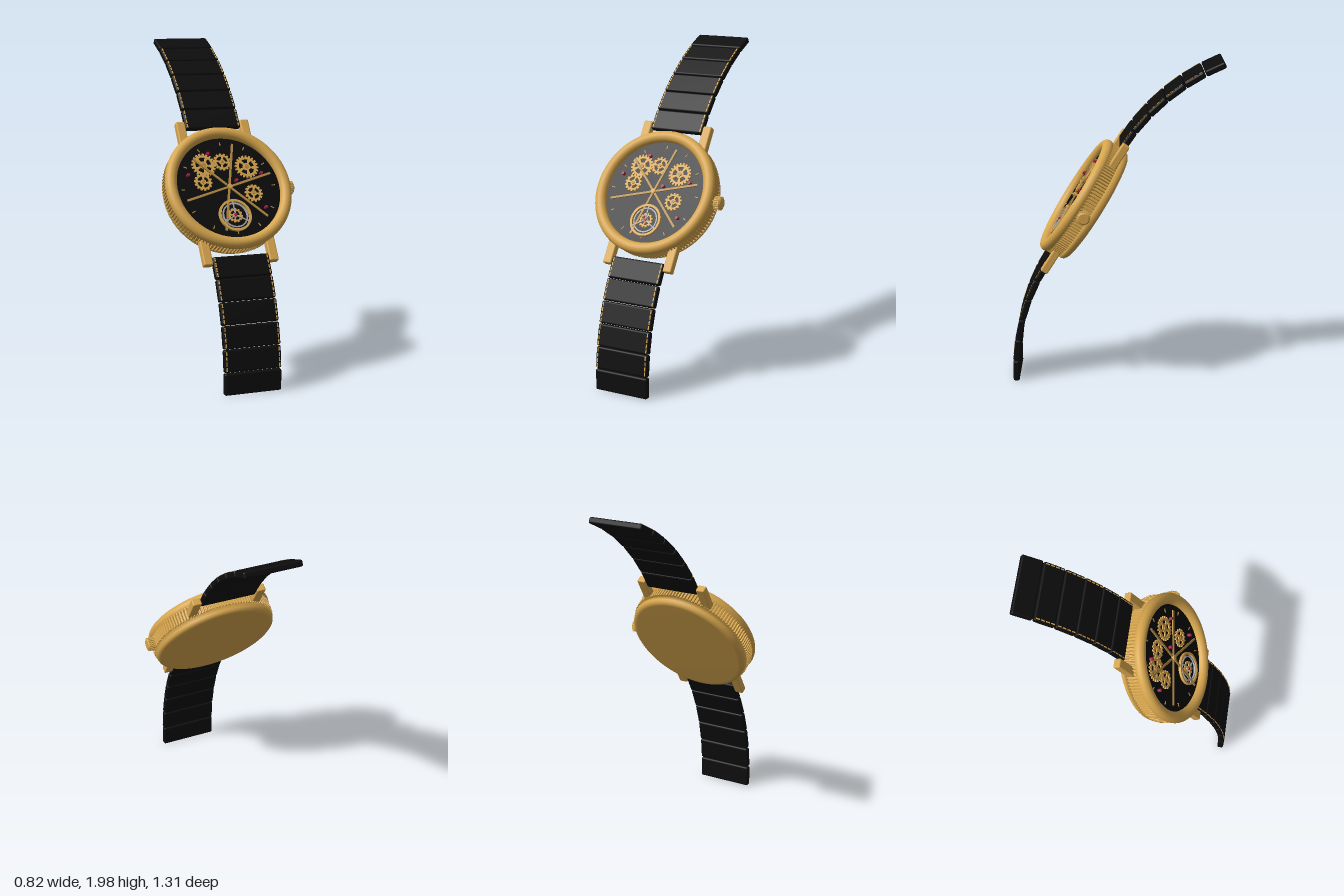
import * as THREE from 'three';
import { RoundedBoxGeometry } from 'three/addons/geometries/RoundedBoxGeometry.js';

const mat = (name, color) => Object.assign(new THREE.MeshStandardMaterial({ color }), { name });

export function createModel() {
  const gold = mat('gold', 0xd6a54d);
  const agedGold = mat('aged gold', 0xb48b42);
  const leather = mat('black leather', 0x0d0d0d);
  const black = mat('dial black', 0x0a0a0a);
  const ruby = mat('ruby', 0xb01c4a);
  const silver = mat('silver', 0xa9abb2);

  // The watch is built flat (12 o'clock +y, face +z), then tilted back and turned
  const root = new THREE.Group();
  root.name = 'wristwatch';
  const watch = new THREE.Group();
  watch.name = 'watch';
  watch.rotation.set(THREE.MathUtils.degToRad(-32.5), THREE.MathUtils.degToRad(8), 0, 'YXZ');
  watch.position.set(-0.019, 1.12, 0.185);
  root.add(watch);

  const add = (name, geo, material, x = 0, y = 0, z = 0, parent = watch) => {
    const m = new THREE.Mesh(geo, material);
    m.name = name;
    m.position.set(x, y, z);
    parent.add(m);
    return m;
  };
  const disc = (r, h, sides = 64) => new THREE.CylinderGeometry(r, r, h, sides).rotateX(Math.PI / 2);
  const turned = (pts) =>
    new THREE.LatheGeometry(pts.map(([r, z]) => new THREE.Vector2(r, z)), 96).rotateX(Math.PI / 2);
  const extrude = (shape, depth) =>
    new THREE.ExtrudeGeometry(shape, { depth, bevelEnabled: false, curveSegments: 16 });

  // Toothed outline shared by the coin edge and the gears
  const toothed = (teeth, outer, inner) => {
    const pts = [];
    for (let i = 0; i < teeth; i++) {
      [[0, inner], [0.3, inner], [0.42, outer], [0.85, outer]].forEach(([f, r]) => {
        const a = ((i + f) / teeth) * Math.PI * 2;
        pts.push(new THREE.Vector2(Math.cos(a) * r, Math.sin(a) * r));
      });
    }
    return new THREE.Shape(pts);
  };
  const ring = (outer, inner, depth) => {
    const s = new THREE.Shape().absarc(0, 0, outer, 0, Math.PI * 2, false);
    s.holes.push(new THREE.Path().absarc(0, 0, inner, 0, Math.PI * 2, true));
    return new THREE.ExtrudeGeometry(s, { depth, bevelEnabled: false, curveSegments: 40 });
  };

  // Case: smooth back, coin edge, rounded bezel
  add('caseBack', turned([[0, -0.082], [0.345, -0.082], [0.36, -0.079], [0.372, -0.07],
    [0.377, -0.056], [0.378, -0.03], [0, -0.03]]), gold);
  add('coinEdge', extrude(toothed(120, 0.386, 0.374), 0.075), gold, 0, 0, -0.03);
  add('bezel', new THREE.TorusGeometry(0.356, 0.035, 20, 96), gold, 0, 0, 0.06);

  // Crown on the 3 o'clock side
  const crown = add('crown', extrude(toothed(20, 0.041, 0.037), 0.036), gold, 0.388, 0, 0);
  crown.rotation.y = Math.PI / 2;
  add('crownCap', new THREE.CylinderGeometry(0.03, 0.037, 0.006, 24).rotateZ(-Math.PI / 2), gold, 0.427);
  add('crownStem', new THREE.CylinderGeometry(0.025, 0.025, 0.04, 20).rotateZ(Math.PI / 2), gold, 0.375);

  // Lugs
  const lugGeo = new RoundedBoxGeometry(0.056, 0.16, 0.046, 2, 0.008);
  for (const sx of [-1, 1]) for (const sy of [-1, 1]) add('lug', lugGeo, gold, sx * 0.205, sy * 0.382, -0.002);

  // Dial with hour marks
  add('dial', disc(0.335, 0.008, 96), black, 0, 0, 0.05);
  for (let i = 0; i < 12; i++) {
    const a = (i / 12) * Math.PI * 2;
    const mark = add('hourMark', new THREE.BoxGeometry(0.006, 0.022, 0.005), agedGold,
      Math.sin(a) * 0.285, Math.cos(a) * 0.285, 0.056);
    mark.rotation.z = -a;
  }

  // Gears: toothed wheel with cut-out windows
  const gear = (x, y, r, teeth, windows, z, parent = watch) => {
    const s = toothed(teeth, r, r * 0.83);
    for (let i = 0; i < windows; i++) {
      const a = (i / windows) * Math.PI * 2, w = (Math.PI * 2) / windows - 0.4;
      const hole = new THREE.Path();
      hole.absarc(0, 0, r * 0.66, a, a + w, false);
      hole.absarc(0, 0, r * 0.32, a + w, a, true);
      s.holes.push(hole);
    }
    add('gear', extrude(s, 0.008), gold, x, y, z, parent);
    add('gearHub', disc(r * 0.16, 0.006, 16), agedGold, x, y, z + 0.01, parent);
  };
  [[0.138, 0.126, 0.074, 20, 5], [0.146, -0.048, 0.056, 14, 4], [-0.13, 0.15, 0.076, 20, 5],
    [-0.155, 0.04, 0.056, 14, 4], [-0.01, 0.165, 0.056, 14, 4]]
    .forEach(([x, y, r, n, w], i) => gear(x, y, r, n, w, 0.055 + (i % 2) * 0.003));

  // Six bridges radiating from the centre
  for (let i = 0; i < 6; i++) {
    const a = THREE.MathUtils.degToRad(15 + i * 60), mid = 0.143;
    const len = i === 2 ? 0.25 : 0.285;
    const bridge = add('bridge', new THREE.BoxGeometry(len, 0.013, 0.007), agedGold,
      Math.cos(a) * mid, Math.sin(a) * mid, 0.067);
    bridge.rotation.z = a;
  }
  add('centrePin', disc(0.015, 0.016, 24), gold, 0, 0, 0.072);

  // Open balance wheel at 6 o'clock
  const balance = new THREE.Group();
  balance.name = 'balanceWheel';
  balance.position.set(0, -0.182, 0.056);
  watch.add(balance);
  add('outerRing', ring(0.1, 0.086, 0.016), gold, 0, 0, 0, balance);
  add('innerRing', ring(0.078, 0.07, 0.01), silver, 0, 0, 0.004, balance);
  for (let i = 0; i < 3; i++) {
    const a = Math.PI / 2 + (i * Math.PI * 2) / 3;
    const arm = add('balanceArm', new THREE.BoxGeometry(0.084, 0.007, 0.006), silver,
      Math.cos(a) * 0.044, Math.sin(a) * 0.044, 0.013, balance);
    arm.rotation.z = a;
  }
  gear(0, 0, 0.046, 12, 4, 0.002, balance);

  // Ruby bearings
  [[-0.093, 0.22], [0.22, 0.078], [0.052, 0.04], [-0.24, 0.09], [0.203, -0.143], [0, -0.182]]
    .forEach(([x, y]) => add('rubyBearing', disc(0.0095, 0.024, 16), ruby, x, y, 0.064));

  // Strap halves: six links each, curving away behind the case
  const linkGeo = new RoundedBoxGeometry(0.352, 0.128, 0.038, 2, 0.011);
  const stitchGeo = new THREE.BoxGeometry(0.007, 0.023, 0.004);
  for (const turn of [0, Math.PI]) {
    const strap = new THREE.Group();
    strap.name = turn ? 'lowerStrap' : 'upperStrap';
    strap.rotation.z = turn;
    watch.add(strap);
    let y = 0.411, z = 0;
    const pitch = 0.135;
    for (let i = 0; i < 6; i++) {
      const t = THREE.MathUtils.degToRad(2.5 + i * 6);
      const dy = Math.cos(t) * pitch, dz = -Math.sin(t) * pitch;
      const link = new THREE.Group();
      link.name = 'strapLink';
      link.position.set(0, y + dy / 2, z + dz / 2);
      link.rotation.x = -t;
      strap.add(link);
      const body = add('linkBody', linkGeo, leather, 0, 0, 0, link);
      if (i < 5) {
        body.scale.y = 1.03;
        for (const sx of [-1, 1]) for (let k = 0; k < 4; k++)
          add('stitch', stitchGeo, gold, sx * 0.163, (k - 1.5) * 0.031, 0.0185, link);
      }
      y += dy;
      z += dz;
    }
  }
  return root;
}
